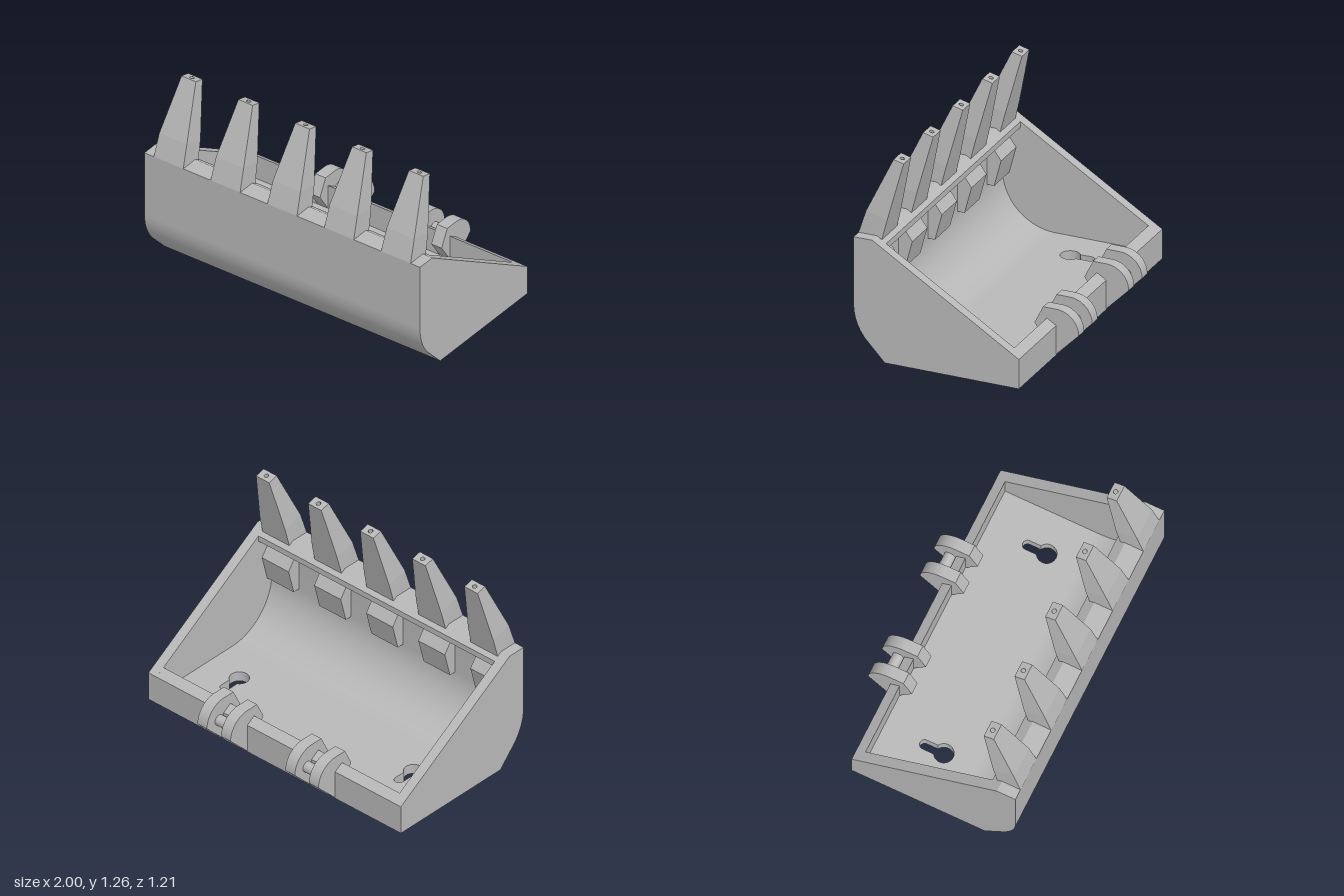
import * as THREE from 'three';
import { toCreasedNormals } from 'three/addons/utils/BufferGeometryUtils.js';

const steel = new THREE.MeshStandardMaterial({ color: 0xb8b8b8 });
steel.name = 'light gray';

function add(parent, name, geometry, x = 0, y = 0, z = 0) {
  const mesh = new THREE.Mesh(geometry, steel);
  mesh.name = name;
  mesh.position.set(x, y, z);
  parent.add(mesh);
  return mesh;
}

// Extrude a side profile (drawn in z, y) across x, centred on x = 0
function across(shape, width) {
  const g = new THREE.ExtrudeGeometry(shape, { depth: width, bevelEnabled: false, curveSegments: 16 });
  g.translate(0, 0, -width / 2).rotateY(-Math.PI / 2);
  return toCreasedNormals(g, 0.4);
}

const polygon = (pts) => new THREE.Shape(pts.map(([a, b]) => new THREE.Vector2(a, b)));

// Rounded outer front of the bucket, from the top lip down to the underside
function outerFront(s) {
  s.moveTo(0.485, 0.775);
  s.lineTo(0.605, 0.775);
  s.lineTo(0.605, 0.34);
  s.absarc(0.281, 0.34, 0.324, 0, -Math.PI / 4, true);
  s.lineTo(0.405, 0);
  return s;
}

// Tapered tooth: three four-cornered sections joined by flat faces, open tip
function toothGeometry() {
  const sections = [ // half width, front z, front y, back z, back y
    [0.107, 0.605, 0.775, 0.455, 0.755],
    [0.1, 0.56, 0.92, 0.424, 0.885],
    [0.052, 0.405, 1.26, 0.34, 1.243],
  ].map(([w, fz, fy, bz, by]) => [[-w, fy, fz], [w, fy, fz], [w, by, bz], [-w, by, bz]]);
  const pos = [];
  for (let i = 0; i < 2; i++) {
    for (let j = 0; j < 4; j++) {
      const k = (j + 1) % 4;
      const [a, b, c, d] = [sections[i][j], sections[i][k], sections[i + 1][k], sections[i + 1][j]];
      pos.push(...a, ...b, ...c, ...a, ...c, ...d);
    }
  }
  const g = new THREE.BufferGeometry();
  g.setAttribute('position', new THREE.Float32BufferAttribute(pos, 3));
  g.computeVertexNormals();
  return g;
}

export function createModel() {
  const model = new THREE.Group();
  model.name = 'toothedBucket';
  const inner = 1.87;

  // Side plates
  const side = outerFront(new THREE.Shape());
  side.lineTo(-0.46, 0);
  side.lineTo(-0.46, 0.19);
  side.closePath();
  const sideGeometry = across(side, 0.065);
  for (const s of [-1, 1]) add(model, s > 0 ? 'leftSide' : 'rightSide', sideGeometry, s * 0.9675);

  // Curved front wall with an overhanging lip
  const front = outerFront(new THREE.Shape());
  front.lineTo(0.2, 0);
  front.lineTo(0.2, 0.065);
  front.absarc(0.2, 0.405, 0.34, -Math.PI / 2, 0, false);
  front.lineTo(0.54, 0.63);
  front.lineTo(0.425, 0.7);
  front.lineTo(0.425, 0.738);
  front.closePath();
  add(model, 'frontWall', across(front, inner));

  // Low back wall
  add(model, 'backWall', across(polygon([[-0.46, 0], [-0.4, 0], [-0.4, 0.227], [-0.46, 0.19]]), inner));

  // Floor with two keyhole openings, drawn in x and -z
  const floor = polygon([[-0.935, -0.2], [0.935, -0.2], [0.935, 0.4], [-0.935, 0.4]]);
  for (const x of [-0.69, 0.69]) {
    const hole = new THREE.Path();
    const a = Math.asin(0.5);
    hole.absarc(x, 0.01, 0.06, Math.PI / 2 + a, Math.PI / 2 - a, false);
    hole.absarc(x, 0.135, 0.03, 0, Math.PI, false);
    hole.closePath();
    floor.holes.push(hole);
  }
  const floorGeometry = new THREE.ExtrudeGeometry(floor, { depth: 0.065, bevelEnabled: false, curveSegments: 20 });
  floorGeometry.rotateX(-Math.PI / 2);
  add(model, 'floor', toCreasedNormals(floorGeometry, 0.5));

  // Teeth with a drilled tip and a lug behind the wall
  const tooth = toothGeometry();
  const tilt = Math.atan2(0.017, 0.065);
  const tip = polygon([[-0.052, -0.0336], [0.052, -0.0336], [0.052, 0.0336], [-0.052, 0.0336]]);
  tip.holes.push(new THREE.Path().absarc(0, 0, 0.014, 0, Math.PI * 2, true));
  const tipGeometry = new THREE.ShapeGeometry(tip, 16).rotateX(-Math.PI / 2 - tilt);
  const pit = [[0.014, 0], [0.014, -0.1], [0, -0.1]].map(([r, y]) => new THREE.Vector2(r, y));
  const pitGeometry = new THREE.LatheGeometry(pit, 16).rotateX(-tilt);
  const lug = across(polygon([[0.56, 0.4], [0.56, 0.67], [0.5, 0.64], [0.45, 0.57], [0.495, 0.4]]), 0.21);
  for (let i = -2; i <= 2; i++) {
    const group = new THREE.Group();
    group.name = 'tooth' + (i + 3);
    group.position.x = i * 0.4125;
    add(group, 'toothBlade', tooth);
    add(group, 'toothTip', tipGeometry, 0, 1.2515, 0.3725);
    add(group, 'tipHole', pitGeometry, 0, 1.2515, 0.3725);
    add(group, 'toothLug', lug);
    model.add(group);
  }

  // Hinge brackets: two ears and a pin each
  const ear = new THREE.Shape();
  ear.moveTo(-0.46, 0.005);
  ear.lineTo(-0.4, 0.065);
  ear.lineTo(-0.32, 0.185);
  ear.lineTo(-0.375, 0.295);
  ear.lineTo(-0.46, 0.295);
  ear.absarc(-0.46, 0.15, 0.145, Math.PI / 2, Math.PI, false);
  ear.closePath();
  const earGeometry = across(ear, 0.075);
  const pinGeometry = new THREE.CylinderGeometry(0.035, 0.035, 0.13, 24).rotateZ(Math.PI / 2);
  for (const s of [-1, 1]) {
    const hinge = new THREE.Group();
    hinge.name = s > 0 ? 'leftHinge' : 'rightHinge';
    hinge.position.x = s * 0.348;
    for (const e of [-1, 1]) add(hinge, 'hingeEar', earGeometry, e * 0.0935);
    add(hinge, 'hingePin', pinGeometry, 0, 0.16, -0.5);
    model.add(hinge);
  }
  return model;
}
